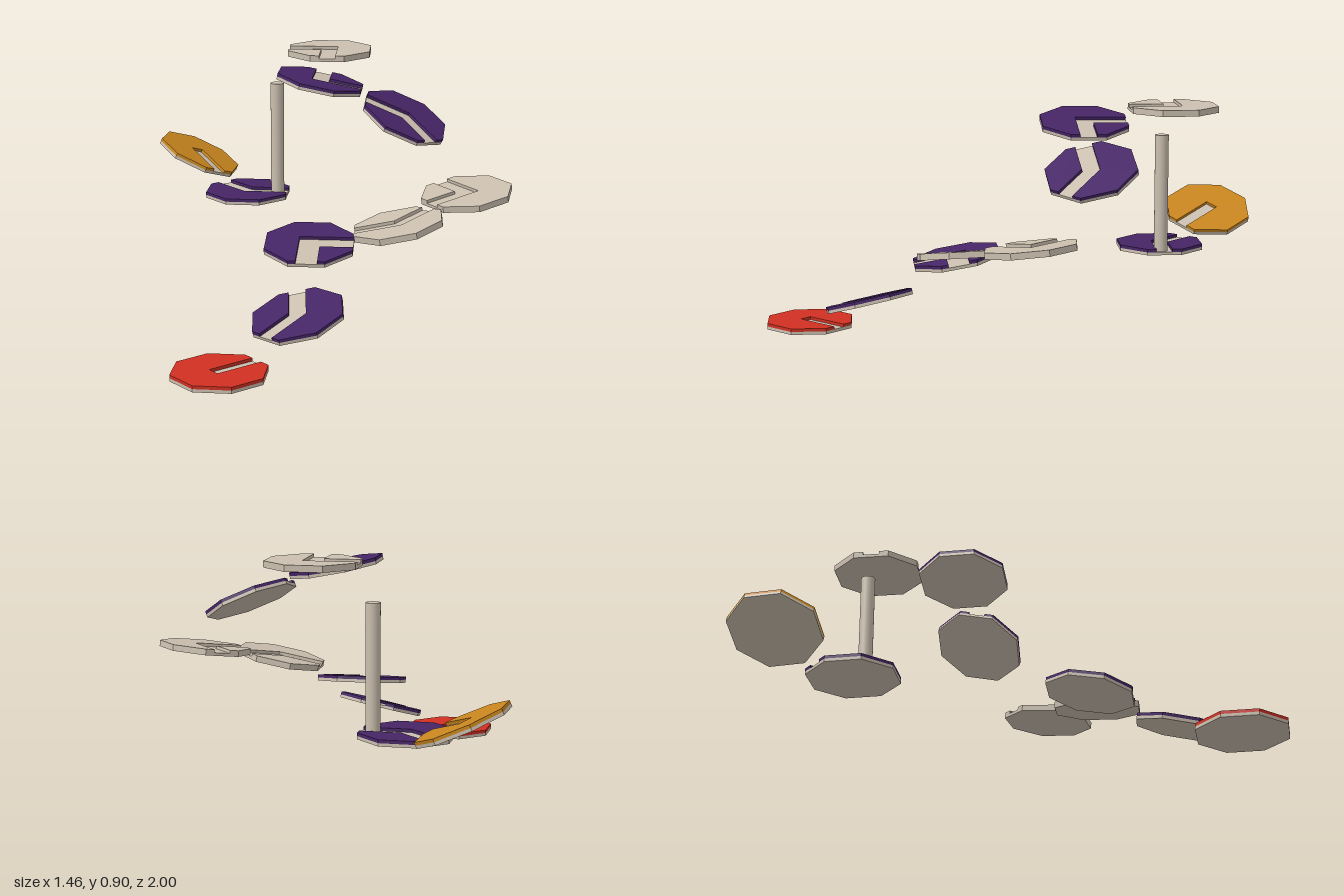
import * as THREE from 'three';

const APOTHEM = 0.165, RADIUS = APOTHEM / Math.cos(Math.PI / 8);
const BASE = 0.012, TOP = 0.012;
const RAD = Math.PI / 180;

const material = (color) => new THREE.MeshStandardMaterial({ color, flatShading: true });
const stone = material(0xcbbfaf), purple = material(0x462566);
const red = material(0xd03022), orange = material(0xc8851e);

// Upper-layer piece covering the span from one lane (angle 0) to the next (angle t, degrees);
// t = 360 leaves a single lane that stops just past the middle.
function coverGeometry(t, w) {
  const at = (angle, along, side) => {
    const c = Math.cos(angle * RAD), s = Math.sin(angle * RAD);
    return new THREE.Vector2(along * c - side * s, along * s + side * c);
  };
  const points = [at(0, APOTHEM, w)];
  for (let a = 22.5; a < t; a += 45) points.push(at(a, RADIUS, 0));
  points.push(at(t, APOTHEM, -w));
  if (t === 360) points.push(at(0, -w, -w), at(0, -w, w));
  else points.push(at(t / 2, w / Math.sin(t / 2 * RAD), 0));
  const geometry = new THREE.ExtrudeGeometry(new THREE.Shape(points), { depth: TOP, bevelEnabled: false });
  return geometry.rotateX(Math.PI / 2).translate(0, BASE / 2 + TOP, 0);
}

// Octagonal tile: stone base with a raised cover, leaving a sunken lane.
// slope = rise per unit x and z, yaw = direction of the first lane, turn = angle to the second
function makeTile({ name, at, slope = [0, 0], yaw, turn, color, w = 0.032 }) {
  const tile = new THREE.Group();
  tile.name = name;
  const base = new THREE.Mesh(
    new THREE.CylinderGeometry(RADIUS, RADIUS, BASE, 8, 1, false, Math.PI / 8), stone);
  base.name = 'tileBase';
  tile.add(base);

  const spans = turn === undefined ? [[0, 360]] : [[0, turn], [turn, 360 - turn]];
  for (const [start, span] of spans) {
    const cover = new THREE.Mesh(coverGeometry(span, w), color);
    cover.name = 'tileCover';
    cover.rotation.y = -start * RAD;
    tile.add(cover);
  }

  const up = new THREE.Vector3(0, 1, 0);
  const normal = new THREE.Vector3(-slope[0], 1, -slope[1]).normalize();
  tile.quaternion.setFromUnitVectors(up, normal)
    .multiply(new THREE.Quaternion().setFromAxisAngle(up, -yaw * RAD));
  tile.position.set(...at).addScaledVector(normal, -TOP / 2);
  return tile;
}

const TILES = [
  { name: 'startTile', at: [-0.317, 0.012, 0.83], yaw: -42, color: red, w: 0.025 },
  { name: 'lowerBendTile', at: [-0.055, 0.152, 0.605], slope: [0.21, -0.21], yaw: 132, turn: 135, color: purple },
  { name: 'lowerCornerTile', at: [-0.033, 0.32, 0.268], slope: [0, -0.17], yaw: 91, turn: 270, color: purple, w: 0.04 },
  { name: 'middleBendTile', at: [0.297, 0.398, 0.272], slope: [0.2, -0.03], yaw: 179, turn: 135, color: stone },
  { name: 'middleCornerTile', at: [0.553, 0.465, 0.052], slope: [0.09, -0.09], yaw: 143, turn: 90, color: stone },
  { name: 'steepTile', at: [0.31, 0.70, -0.203], slope: [-0.45, -0.25], yaw: 46, turn: 135, color: purple },
  { name: 'upperCornerTile', at: [-0.02, 0.835, -0.225], slope: [-0.2, 0], yaw: 2, turn: 270, color: purple },
  { name: 'topTile', at: [0, 0.89, -0.567], yaw: 91, turn: 90, color: stone },
  { name: 'landingTile', at: [-0.34, 0.288, -0.585], yaw: 3, turn: 225, color: purple },
  { name: 'endTile', at: [-0.57, 0.384, -0.832], slope: [-0.45, -0.03], yaw: 51, color: orange, w: 0.027 },
];

export function createModel() {
  const model = new THREE.Group();
  model.name = 'tileTrack';
  for (const spec of TILES) model.add(makeTile(spec));

  // Upright post standing on the landing tile
  const post = new THREE.Mesh(
    new THREE.CylinderGeometry(0.027, 0.027, 0.47, 24),
    new THREE.MeshStandardMaterial({ color: 0xcbbfaf }));
  post.name = 'post';
  post.position.set(-0.215, 0.52, -0.567);
  model.add(post);
  return model;
}
